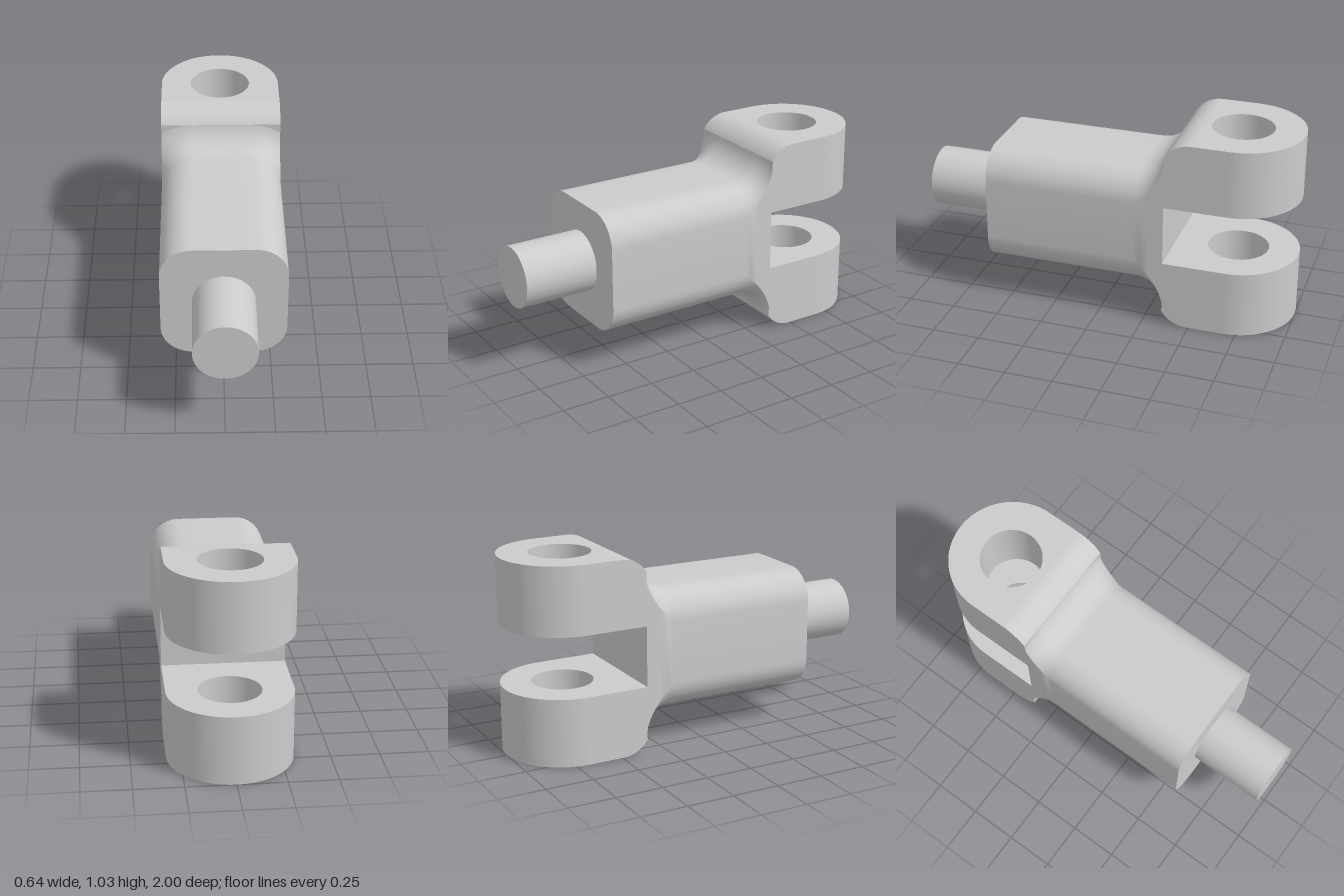
import * as THREE from 'three';
import { toCreasedNormals } from 'three/addons/utils/BufferGeometryUtils.js';

const HALF = 0.32;      // half width of the shank and fork
const CORNER = 0.16;    // corner radius of the shank, also pin, hole and half slot
const MID = 0.517;      // height of the long axis
const TOP = 0.517;      // fork half height
const ROOT = 0.355;     // distance of the slot floor behind the centre
const FLAT = 0.49;      // where the fork's outer face becomes flat
const material = new THREE.MeshStandardMaterial({ color: 0xcccccc });

function part(name, geometry) {
  const mesh = new THREE.Mesh(toCreasedNormals(geometry, 0.5), material);
  mesh.name = name;
  return mesh;
}

// Rounded-square cross-section grown outward by d, but trimmed flat at the sides
function section(d, z) {
  const n = 12, upper = [];
  const height = x => CORNER + Math.sqrt((CORNER + d) ** 2 - Math.max(0, x - CORNER) ** 2);
  for (let i = 0; i <= n; i++) {
    const x = CORNER + CORNER * Math.cos((i / n) * Math.PI / 2);
    upper.push([x, height(x)]);
  }
  for (let i = n; i >= 0; i--) upper.push([-upper[i][0], upper[i][1]]);
  const lower = upper.map(([x, y]) => [-x, -y]);
  return [...upper, ...lower].map(([x, y]) => [x, y, z]);
}

// Shank lofted along z, flaring in a concave fillet towards the fork
function shankGeometry() {
  const rings = [section(0, 0.61)];
  const steps = 14, sweep = Math.asin((ROOT - 0.2) / 0.16);
  for (let i = 0; i <= steps; i++) {
    const a = sweep * i / steps;
    rings.push(section(0.16 * (1 - Math.cos(a)), -0.2 - 0.16 * Math.sin(a)));
  }
  const n = rings[0].length, positions = rings.flat(2), index = [];
  for (let k = 0; k < rings.length - 1; k++) {
    for (let i = 0; i < n; i++) {
      const a = k * n + i, b = k * n + (i + 1) % n;
      index.push(a, a + n, b, b, a + n, b + n);
    }
  }
  // End caps
  const front = positions.length / 3, last = (rings.length - 1) * n;
  positions.push(0, 0, 0.61, 0, 0, -ROOT);
  for (let i = 0; i < n; i++) {
    const j = (i + 1) % n;
    index.push(front, i, j, front + 1, last + j, last + i);
  }
  const geometry = new THREE.BufferGeometry();
  geometry.setAttribute('position', new THREE.Float32BufferAttribute(positions, 3));
  geometry.setIndex(index);
  return geometry;
}

// One fork arm above the axis: rounded shoulder plus drilled eye
function forkArm(name) {
  const arm = new THREE.Group();
  arm.name = name;

  const side = new THREE.Shape();
  side.moveTo(ROOT, CORNER);
  side.lineTo(FLAT, CORNER);
  side.lineTo(FLAT, TOP);
  side.absarc(FLAT, TOP - 0.16, 0.16, Math.PI / 2, Math.PI - Math.acos((FLAT - ROOT) / 0.16), false);
  side.closePath();
  const shoulder = new THREE.ExtrudeGeometry(side, { depth: 2 * HALF, bevelEnabled: false, curveSegments: 12 });
  shoulder.rotateY(Math.PI / 2).translate(-HALF, 0, 0);

  const plan = new THREE.Shape();
  plan.moveTo(-HALF, FLAT);
  plan.lineTo(HALF, FLAT);
  plan.lineTo(HALF, 0.68);
  plan.absarc(0, 0.68, HALF, 0, Math.PI, false);
  plan.closePath();
  plan.holes.push(new THREE.Path().absarc(0, 0.68, CORNER, 0, Math.PI * 2, true));
  const eye = new THREE.ExtrudeGeometry(plan, { depth: TOP - CORNER, bevelEnabled: false, curveSegments: 48 });
  eye.rotateX(-Math.PI / 2).translate(0, CORNER, 0);

  arm.add(part('armShoulder', shoulder), part('armEye', eye));
  return arm;
}

export function createModel() {
  const model = new THREE.Group();
  model.name = 'clevisRodEnd';
  const body = new THREE.Group();
  body.name = 'clevis';
  body.position.y = MID;
  model.add(body);

  body.add(part('shank', shankGeometry()));

  // Round pin at the front
  const pin = new THREE.CylinderGeometry(CORNER, CORNER, 0.39, 64);
  pin.rotateX(Math.PI / 2).translate(0, 0, 0.805);
  body.add(part('pin', pin));

  // Two fork arms, the lower one turned over about the long axis
  const lower = forkArm('lowerForkArm');
  lower.rotation.z = Math.PI;
  body.add(forkArm('upperForkArm'), lower);
  return model;
}
